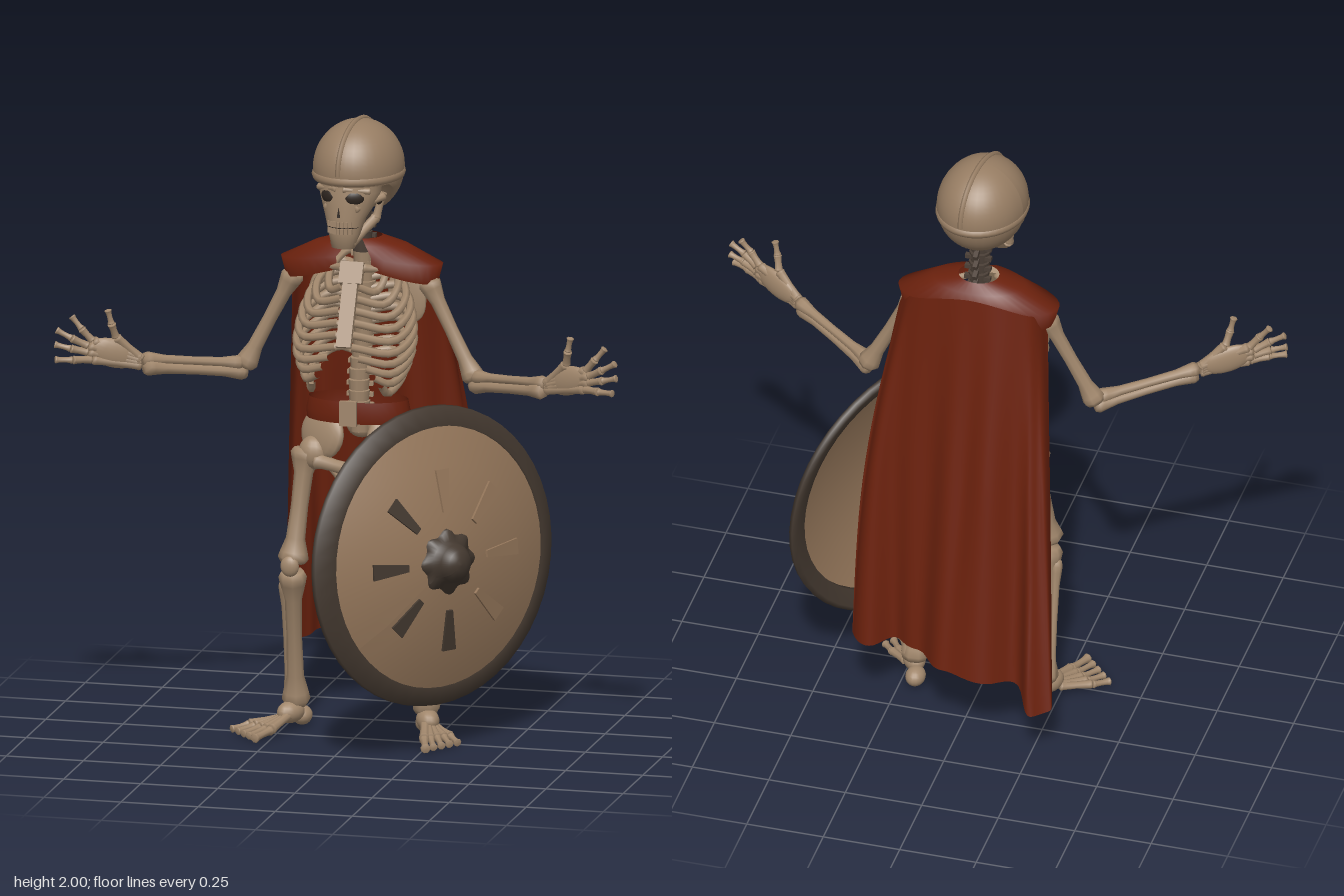
import * as THREE from 'three';
import { mergeVertices } from 'three/addons/utils/BufferGeometryUtils.js';

const mat = (name, color, side = THREE.FrontSide) => {
  const m = new THREE.MeshStandardMaterial({ color, side });
  m.name = name;
  return m;
};
const V = (x, y, z) => new THREE.Vector3(x, y, z);

// Smooth surface from a rule f(u, v) -> [x, y, z]
function grid(nu, nv, f) {
  const pos = [], idx = [];
  for (let j = 0; j <= nv; j++) for (let i = 0; i <= nu; i++) pos.push(...f(i / nu, j / nv));
  for (let j = 0; j < nv; j++) for (let i = 0; i < nu; i++) {
    const a = j * (nu + 1) + i, b = a + 1, d = a + nu + 1, c = d + 1;
    idx.push(a, b, d, c, d, b);
  }
  let g = new THREE.BufferGeometry();
  g.setAttribute('position', new THREE.Float32BufferAttribute(pos, 3));
  g.setIndex(idx);
  g = mergeVertices(g, 1e-5);
  g.computeVertexNormals();
  return g;
}

// Stack of elliptic rings [y, centre z, x radius, z radius], bottom to top; gap opens the front
function loft(rings, n = 24, gap = 0) {
  return grid(n, rings.length - 1, (u, v) => {
    const [y, cz, rx, rz] = rings[Math.round(v * (rings.length - 1))];
    const a = (gap + u * (1 - 2 * gap)) * Math.PI * 2;
    return [rx * Math.sin(a), y, cz + rz * Math.cos(a)];
  });
}

// Moves every vertex by a rule that edits a vector in place
function warp(geo, rule) {
  const p = geo.attributes.position, v = V(0, 0, 0);
  for (let i = 0; i < p.count; i++) {
    rule(v.fromBufferAttribute(p, i));
    p.setXYZ(i, v.x, v.y, v.z);
  }
  geo.computeVertexNormals();
  return geo;
}

const lathe = (pts, n) => new THREE.LatheGeometry(pts.map(p => new THREE.Vector2(...p)), n);

export function createModel() {
  const boneMat = mat('bone', 0xa1876c);
  const helmetMat = mat('helmet tan', 0x977d63);
  const woodMat = mat('shield tan', 0x94765a, THREE.DoubleSide);
  const darkMat = mat('dark iron', 0x43382f);
  const neckMat = mat('dark bone', 0x4c4037);
  const hollowMat = mat('hollow', 0x2f2620);
  const redMat = mat('red cloth', 0x6b210d, THREE.DoubleSide);

  const model = new THREE.Group();
  const add = (name, geo, m, parent = model) => {
    const mesh = new THREE.Mesh(geo, m);
    mesh.name = name;
    parent.add(mesh);
    return mesh;
  };
  const blob = (name, p, s, m = boneMat, parent = model) => {
    const mesh = add(name, new THREE.SphereGeometry(1, 16, 12), m, parent);
    mesh.position.set(...p);
    mesh.scale.set(...s);
    return mesh;
  };
  // Long bone with knobbed ends; k is the shaft to knob ratio
  const bone = (name, a, b, r, k = 0.6, parent = model) => {
    const A = V(...a), d = V(...b).sub(A), L = d.length();
    const prof = [[0, 0], [0.8, 0.01], [1, 0.05], [0.9, 0.1], [k, 0.22], [k * 0.9, 0.5], [k, 0.78], [0.9, 0.9], [1, 0.95], [0.8, 0.99], [0, 1]];
    const mesh = add(name, lathe(prof.map(([x, y]) => [x * r, y * L]), 8), boneMat, parent);
    mesh.position.copy(A);
    mesh.quaternion.setFromUnitVectors(V(0, 1, 0), d.normalize());
    return mesh;
  };

  // Head, turned a little to its right
  const head = new THREE.Group();
  head.name = 'head';
  head.position.set(0.005, 1.84, -0.04);
  head.rotation.y = -0.17;
  model.add(head);

  const shell = new THREE.SphereGeometry(1, 36, 28).scale(0.141, 0.152, 0.163);
  add('helmet', warp(shell, v => {
    v.y = Math.max(v.y, -0.135 + 0.1 * THREE.MathUtils.smoothstep(v.z, -0.04, 0.05));
  }), helmetMat, head);
  const band = add('helmetBand', new THREE.TorusGeometry(0.137, 0.007, 6, 40).rotateX(Math.PI / 2).scale(1, 1.9, 1.17), helmetMat, head);
  band.position.y = -0.018;
  add('helmetCrest', new THREE.TorusGeometry(0.152, 0.009, 6, 28, Math.PI).rotateY(Math.PI / 2).scale(1, 1, 1.06), helmetMat, head);

  add('face', loft([
    [-0.242, 0.122, 0.001, 0.001], [-0.237, 0.12, 0.038, 0.026], [-0.19, 0.11, 0.052, 0.045],
    [-0.14, 0.1, 0.066, 0.058], [-0.1, 0.075, 0.086, 0.08], [-0.06, 0.065, 0.1, 0.09], [0.01, 0.055, 0.102, 0.09]]), boneMat, head);
  blob('mouth', [0, -0.167, 0.11], [0.058, 0.004, 0.051], hollowMat, head);
  const nose = add('noseHole', new THREE.ConeGeometry(0.018, 0.042, 3).scale(1, 1, 0.5), hollowMat, head);
  nose.position.set(0, -0.112, 0.153);
  for (let i = -3; i <= 3; i++) for (const y of [-0.156, -0.178]) {
    const tooth = add('tooth', new THREE.BoxGeometry(0.01, 0.018, 0.01), boneMat, head);
    tooth.position.set(i * 0.012, y, 0.157 - i * i * 0.0016);
  }
  for (const s of [-1, 1]) {
    blob('eyeSocket', [s * 0.045, -0.07, 0.134], [0.032, 0.024, 0.013], hollowMat, head).rotation.y = s * 0.5;
    blob('templeHollow', [s * 0.09, -0.09, 0.045], [0.01, 0.015, 0.02], hollowMat, head);
    bone('cheekbone', [s * 0.045, -0.108, 0.138], [s * 0.102, -0.08, 0.03], 0.014, 0.85, head);
    bone('brow', [s * 0.01, -0.042, 0.15], [s * 0.09, -0.05, 0.11], 0.011, 0.9, head);
    bone('jaw', [s * 0.025, -0.225, 0.12], [s * 0.075, -0.15, 0.03], 0.018, 0.9, head);
    bone('jawHinge', [s * 0.075, -0.155, 0.035], [s * 0.092, -0.07, 0.02], 0.016, 0.85, head);
  }

  // Spine
  const spine = new THREE.CatmullRomCurve3([V(0, 1.74, -0.08), V(0, 1.6, -0.1), V(0, 1.45, -0.14), V(0, 1.3, -0.13), V(0, 1.15, -0.065), V(0, 0.99, -0.08)]);
  for (let i = 0; i <= 22; i++) {
    const p = spine.getPointAt(i / 22), m = i < 6 ? neckMat : boneMat;
    add('vertebra', new THREE.CylinderGeometry(0.034, 0.031, 0.032, 10), m).position.copy(p);
    const fin = add('vertebraFin', new THREE.BoxGeometry(0.014, 0.018, 0.05), m);
    fin.position.set(0, p.y - 0.006, p.z - 0.035);
    fin.rotation.x = -0.4;
    add('vertebraWings', new THREE.BoxGeometry(0.085, 0.014, 0.016), m).position.set(0, p.y, p.z - 0.015);
  }

  // Breastbone
  const plateOfBone = (name, size, y, z) => {
    const mesh = add(name, new THREE.BoxGeometry(...size), boneMat);
    mesh.position.set(0, y, z);
    mesh.rotation.x = -0.447;
  };
  plateOfBone('breastbone', [0.048, 0.26, 0.018], 1.41, 0.078);
  plateOfBone('breastboneTop', [0.075, 0.07, 0.022], 1.51, 0.032);

  const ribWidth = [0.09, 0.13, 0.155, 0.17, 0.178, 0.182, 0.182, 0.176, 0.165, 0.15];
  const fingers = [ // knuckle, tip
    [[0.80, 1.28, 0.19], [0.865, 1.358, 0.20]], [[0.812, 1.265, 0.20], [0.907, 1.318, 0.23]],
    [[0.812, 1.245, 0.20], [0.912, 1.272, 0.235]], [[0.80, 1.222, 0.20], [0.905, 1.228, 0.257]],
    [[0.73, 1.29, 0.165], [0.75, 1.383, 0.19]]];

  for (const s of [-1, 1]) {
    const P = ([x, y, z]) => [s * x, y, z];
    const B = (name, a, b, r, k) => bone(name, P(a), P(b), r, k);

    // Ribs
    ribWidth.forEach((w, i) => {
      const yb = 1.53 - 0.035 * i, low = Math.max(0, i - 5);
      const yf = Math.max(yb - 0.06, 1.27 - low * 0.025);
      const zf = Math.min(0.145, 0.02 + (1.53 - yf) * 0.48) - low * 0.012;
      const path = [[0.015, yb, -0.13], [w * 0.6, yb + 0.01, -0.15], [w, yb - 0.035, -0.05], [w * 0.82, yb - 0.08, zf - 0.035], [0.025 + low * 0.022, yf, zf]];
      add('rib', new THREE.TubeGeometry(new THREE.CatmullRomCurve3(path.map(p => V(...P(p)))), 18, 0.013, 6), boneMat);
    });

    // Shoulder and arm
    B('collarbone', [0.02, 1.525, 0.02], [0.21, 1.5, -0.08], 0.016, 0.7);
    blob('shoulderBlade', P([0.13, 1.4, -0.165]), [0.06, 0.09, 0.012]).rotation.z = s * 0.25;
    B('upperArm', [0.215, 1.475, -0.09], [0.375, 1.16, -0.07], 0.037, 0.65);
    B('forearmOuter', [0.365, 1.145, -0.07], [0.65, 1.19, 0.13], 0.027, 0.68);
    B('forearmInner', [0.375, 1.175, -0.06], [0.655, 1.215, 0.125], 0.024, 0.65);
    const palm = blob('palm', P([0.738, 1.238, 0.165]), [0.088, 0.046, 0.019]);
    palm.rotation.set(0, -s * 0.45, s * 0.3);
    fingers.forEach(([k, t], i) => {
      const mid = [0, 1, 2].map(c => (k[c] + t[c]) / 2 + (c === 2 ? 0.006 : 0));
      B('handBone', [0.655, 1.195 + (i === 4 ? 0.02 : 0.008 * (3 - i)), 0.13], k, 0.017, 0.85);
      B('fingerBase', k, mid, 0.0145, 0.85);
      B('fingerTip', mid, t, 0.0125, 0.75);
    });

    // Pelvis
    const wing = blob('hipWing', P([0.115, 0.965, -0.05]), [0.088, 0.082, 0.03]);
    wing.rotation.set(-0.2, s * 0.5, s * 0.35);
    blob('hipSocket', P([0.14, 0.905, -0.04]), [0.05, 0.055, 0.045]);
    B('pubicBone', [0.13, 0.885, -0.02], [-0.01, 0.865, 0.02], 0.028, 0.8);
    B('sitBone', [0.12, 0.89, -0.06], [0.04, 0.835, -0.01], 0.022, 0.8);

    // Leg
    B('thighBone', [0.165, 0.92, -0.045], [0.2, 0.55, 0.0], 0.049, 0.62);
    blob('kneecap', P([0.2, 0.55, 0.035]), [0.03, 0.034, 0.018]);
    B('shinBone', [0.2, 0.53, 0.0], [0.212, 0.07, -0.095], 0.045, 0.6);
    B('calfBone', [0.23, 0.49, -0.015], [0.235, 0.08, -0.105], 0.02, 0.65);

    // Foot, splayed outward, the right one wider
    const splay = s > 0 ? 0.78 : 1;
    blob('heel', P([0.2, 0.032, -0.125]), [0.032, 0.031, 0.04]);
    blob('ankle', P([0.222, 0.055, -0.065]), [0.036, 0.036, 0.052]).rotation.y = s * 0.5;
    for (let i = 0; i < 5; i++) {
      const x = 0.2 + (0.055 + i * 0.022) * splay, z = 0.06 - i * 0.016, r = i === 0 ? 0.018 : 0.015;
      B('footBone', [0.215 + i * 0.009, 0.055 - i * 0.005, -0.06], [x, 0.024, z], r, 0.85);
      B('toe', [x, 0.022, z], [x + (0.033 + i * 0.003) * splay, 0.013, z + 0.085 - i * 0.01], r * 0.9, 0.75);
    }
  }
  blob('tailbone', [0, 1.0, -0.09], [0.05, 0.05, 0.03]);

  // Belt and its clasp
  add('belt', loft([[1.02, -0.055, 0.165, 0.085], [1.05, -0.055, 0.168, 0.09], [1.09, -0.055, 0.16, 0.085]], 32), redMat);
  add('beltClasp', new THREE.BoxGeometry(0.055, 0.08, 0.014), boneMat).position.set(-0.01, 1.055, 0.035);

  // Cloak: shoulder mantle open at the throat, and a long folded cape
  const mantle = loft([[1.46, -0.1, 0.245, 0.105], [1.525, -0.1, 0.262, 0.11], [1.58, -0.1, 0.15, 0.085], [1.605, -0.1, 0.065, 0.055]], 36, 0.035);
  add('mantle', warp(mantle, v => {
    const lift = Math.max(0, (v.z + 0.1) / 0.11) * (1 - Math.abs(v.x) / 0.27);
    v.y += lift * (1.6 - v.y) * 0.5;
  }), redMat);

  const curve = pts => new THREE.CatmullRomCurve3(pts.map(p => V(...p)));
  const top = curve([[-0.225, 1.49, -0.1], [-0.19, 1.53, -0.18], [0, 1.57, -0.205], [0.19, 1.53, -0.18], [0.25, 1.49, -0.1]]);
  const hem = curve([[-0.31, 0.24, -0.36], [-0.33, 0.21, -0.42], [-0.275, 0.2, -0.47], [-0.21, 0.25, -0.39], [-0.12, 0.27, -0.42], [0, 0.28, -0.43],
    [0.07, 0.28, -0.38], [0.14, 0.28, -0.33], [0.21, 0.28, -0.28], [0.28, 0.27, -0.32], [0.355, 0.27, -0.3], [0.36, 0.27, -0.26], [0.3, 0.28, -0.235]]);
  add('cape', grid(72, 18, (u, v) => {
    const p = top.getPoint(u).lerp(hem.getPoint(u), v);
    const fold = 0.013 * Math.sin(u * 44 + v * 2) * Math.min(1, v * 2);
    const side = 0.055 * Math.sin(v * Math.PI) * Math.max(0, u - 0.5) * 2;
    return [p.x + side, p.y, p.z + fold];
  }), redMat);

  // Round shield, standing in front of the left leg, its dome peaking off centre
  const shield = new THREE.Group();
  shield.name = 'shield';
  shield.position.set(0.274, 0.627, 0.092);
  shield.quaternion.setFromUnitVectors(V(0, 1, 0), V(0.8, 0.06, 0.6).normalize());
  model.add(shield);
  const skew = v => {
    const k = Math.max(0, 1 - Math.hypot(v.x, v.z) / 0.43);
    v.x -= 0.024 * k;
    v.z += 0.031 * k;
  };
  add('shieldFace', warp(lathe([[0.43, 0.025], [0.3, 0.08], [0.13, 0.115], [0, 0.125]], 48), skew), woodMat, shield);
  add('shieldRim', lathe([[0.414, 0.012], [0.462, -0.014], [0.478, -0.006], [0.476, 0.01], [0.417, 0.042], [0.414, 0.012]], 48), darkMat, shield);
  const boss = lathe([[0.098, 0.105], [0.095, 0.128], [0.068, 0.136], [0.06, 0.165], [0.044, 0.188], [0.02, 0.198], [0, 0.2]], 48);
  add('shieldBoss', warp(boss, v => {
    if (Math.hypot(v.x, v.z) > 0.08) {
      const k = 1 + 0.09 * Math.cos(8 * (Math.atan2(-v.z, v.x) - 0.927));
      v.x *= k;
      v.z *= k;
    }
    skew(v);
  }), darkMat, shield);

  // Tapered plates around the boss
  const plate = new THREE.Shape([[-0.06, -0.011], [0.075, -0.026], [0.075, 0.026], [-0.06, 0.011]].map(p => new THREE.Vector2(...p)));
  for (let i = 0; i < 8; i++) {
    const geo = new THREE.ExtrudeGeometry(plate, { depth: 0.008, bevelEnabled: false });
    geo.rotateX(-Math.PI / 2).rotateZ(-0.203).translate(0.215, 0.0975, 0).rotateY(0.927 + i * Math.PI / 4);
    add('shieldPlate', warp(geo, skew), i >= 3 && i <= 6 ? darkMat : woodMat, shield);
  }
  return model;
}
